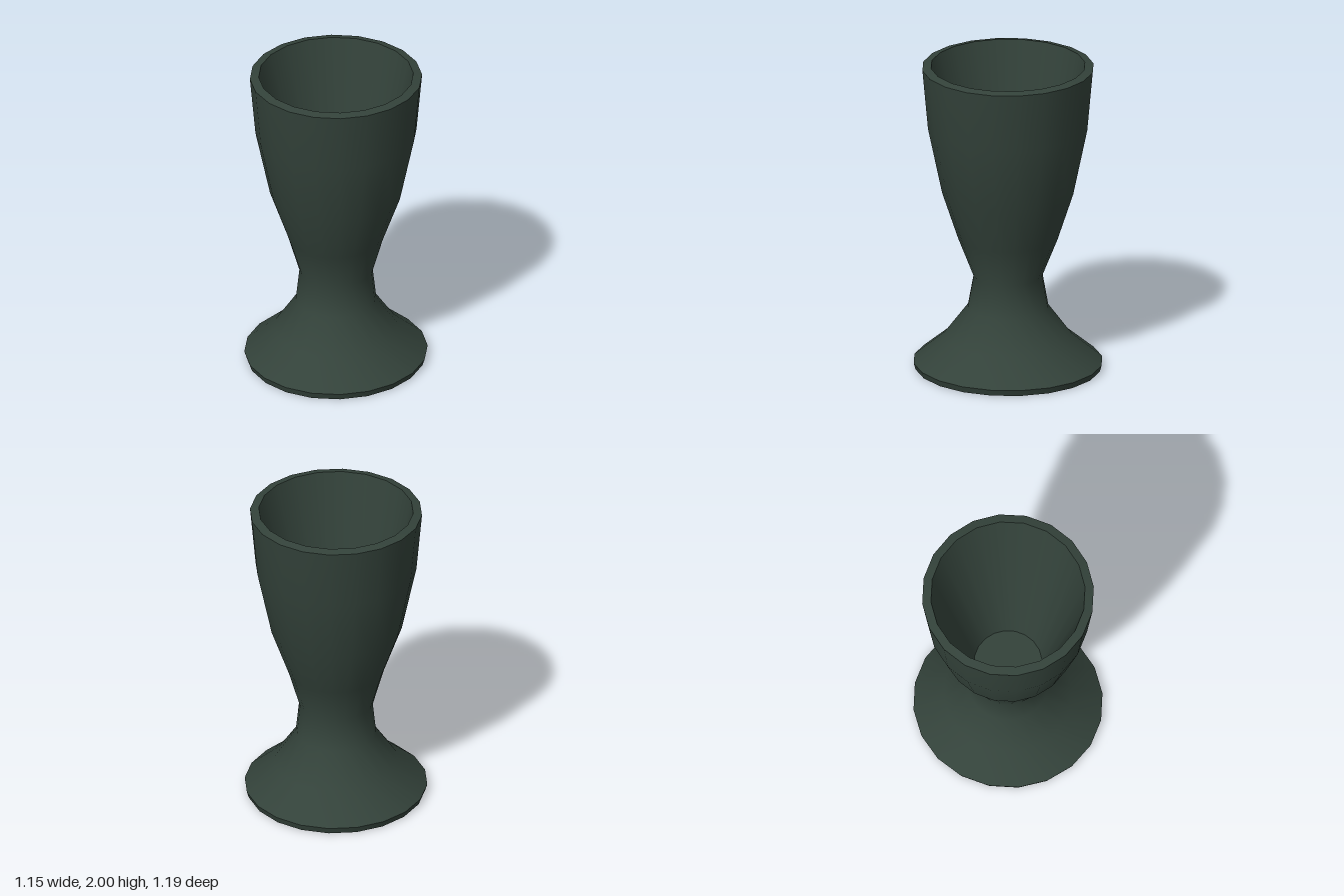
import * as THREE from 'three';
import { mergeVertices, toCreasedNormals } from 'three/addons/utils/BufferGeometryUtils.js';

const SIDES = 20;

// Closed profile from the underside, up the outside, over the rim and down
// the inside: [x radius, z radius, height]. The foot is slightly oval.
const PROFILE = [
  [0, 0, 0],
  [0.56, 0.585, 0],
  [0.573, 0.596, 0.04], // foot edge
  [0.388, 0.404, 0.2],
  [0.253, 0.254, 0.4],
  [0.231, 0.216, 0.61], // waist
  [0.302, 0.315, 0.86],
  [0.414, 0.416, 1.17],
  [0.505, 0.505, 1.6],
  [0.54, 0.54, 1.988], // outer rim
  [0.485, 0.485, 2], // inner rim
  [0.214, 0.214, 0.75], // inner floor
  [0, 0, 0.75],
];

function ovalLathe(profile) {
  const geometry = new THREE.LatheGeometry(
    profile.map(([rx, , y]) => new THREE.Vector2(rx, y)), SIDES);

  // Stretch each ring in z to its own radius
  const pos = geometry.attributes.position;
  for (let i = 0; i < pos.count; i++) {
    const [rx, rz] = profile[i % profile.length];
    if (rx > 0) pos.setZ(i, pos.getZ(i) * rz / rx);
  }

  // Weld the seam, then keep the foot, rim and floor edges sharp
  geometry.deleteAttribute('uv');
  geometry.deleteAttribute('normal');
  return toCreasedNormals(mergeVertices(geometry), 0.75);
}

export function createModel() {
  const group = new THREE.Group();
  group.name = 'goblet';
  const material = new THREE.MeshStandardMaterial({ color: 0x33423a });
  const cup = new THREE.Mesh(ovalLathe(PROFILE), material);
  cup.name = 'footedCup';
  group.add(cup);
  return group;
}
